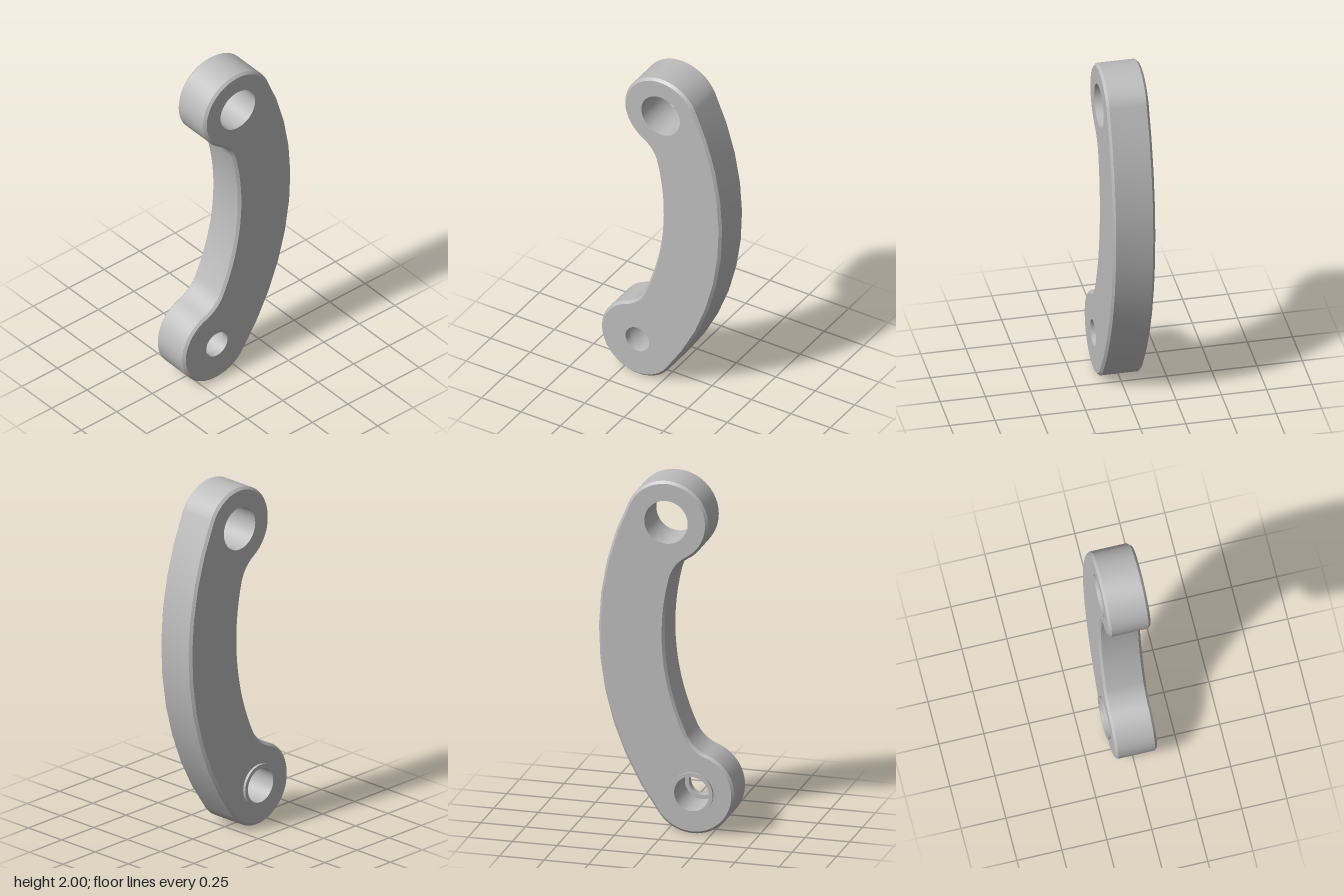
import * as THREE from 'three';

// Profiles lie in the (z, y) plane; the link is extruded along x.
const X0 = -0.11, X1 = 0.123, CHAMFER = 0.014;
const END_R = 0.233, MID_R = 1.477, INNER_R = 1.34, FILLET = 0.2;
const centre = [1.329, 1.123];
const topAngle = THREE.MathUtils.degToRad(154.1);
const bottomAngle = THREE.MathUtils.degToRad(216.9);

const polar = ([z, y], r, a) => [z + r * Math.cos(a), y + r * Math.sin(a)];
const arc = (c, r, a0, a1, n) =>
  Array.from({ length: n }, (_, i) => polar(c, r, a0 + ((a1 - a0) * i) / n));
const direction = (from, to) => Math.atan2(to[1] - from[1], to[0] - from[0]);

const topEye = polar(centre, MID_R, topAngle);
const bottomEye = polar(centre, MID_R, bottomAngle);

// Curved link outline made of tangent arcs, shrunk by an inset
function outline(inset) {
  const fr = INNER_R - FILLET, er = END_R + FILLET;
  const swing = Math.acos((MID_R ** 2 + fr ** 2 - er ** 2) / (2 * MID_R * fr));
  const lowA = bottomAngle - swing, highA = topAngle + swing;
  const low = polar(centre, fr, lowA), high = polar(centre, fr, highA);
  const lowDir = direction(bottomEye, low), highDir = direction(topEye, high);
  const r = END_R - inset, f = FILLET + inset;
  return [
    ...arc(bottomEye, r, bottomAngle - 2 * Math.PI, lowDir, 36),
    ...arc(low, f, lowDir + Math.PI, lowA, 10),
    ...arc(centre, INNER_R + inset, lowA, highA, 16),
    ...arc(high, f, highA, highDir + Math.PI, 10),
    ...arc(topEye, r, highDir, topAngle, 36),
    ...arc(centre, MID_R + END_R - inset, topAngle, bottomAngle, 10),
  ];
}

const circle = (c, r) => arc(c, r, 0, 2 * Math.PI, 48);

function geometry(positions, index) {
  const g = new THREE.BufferGeometry();
  g.setAttribute('position', new THREE.Float32BufferAttribute(positions, 3));
  g.setIndex(index);
  g.computeVertexNormals();
  return g;
}

// Closed band between two matching loops at xa and xb
function band(a, xa, b, xb) {
  const n = a.length, index = [];
  const positions = [...a.map(([z, y]) => [xa, y, z]), ...b.map(([z, y]) => [xb, y, z])].flat();
  for (let i = 0; i < n; i++) {
    const j = (i + 1) % n;
    index.push(i, n + i, j, j, n + i, n + j);
  }
  return geometry(positions, index);
}

// Flat side face with holes
function cap(loop, holes, x, flip) {
  const v = (p) => new THREE.Vector2(p[0], p[1]);
  const tris = THREE.ShapeUtils.triangulateShape(
    loop.map(v), holes.map((h) => [...h].reverse().map(v)));
  const points = [loop, ...holes.map((h) => [...h].reverse())].flat();
  const index = tris.flatMap(([a, b, c]) => (flip ? [a, c, b] : [a, b, c]));
  return geometry(points.flatMap(([z, y]) => [x, y, z]), index);
}

export function createModel() {
  const model = new THREE.Group();
  model.name = 'curvedLink';
  const steel = new THREE.MeshStandardMaterial({ color: 0xbcbcbc });
  steel.name = 'grey steel';

  const part = (name, geometries) => {
    const group = new THREE.Group();
    group.name = name;
    geometries.forEach((g) => {
      const mesh = new THREE.Mesh(g, steel);
      mesh.name = name;
      group.add(mesh);
    });
    model.add(group);
  };
  // Crisp-edged turned surface from [x, radius] steps
  const turned = (c, steps) => steps.slice(1).map(([x, r], i) =>
    band(circle(c, steps[i][1]), steps[i][0], circle(c, r), x));

  const pinR = 0.075, boreR = 0.098, bossR = 0.119, eyeR = 0.122;
  const full = outline(0), small = outline(CHAMFER);

  part('linkRim', [
    band(small, X0, full, X0 + CHAMFER),
    band(full, X0 + CHAMFER, full, X1 - CHAMFER),
    band(full, X1 - CHAMFER, small, X1),
  ]);
  part('linkFaces', [
    cap(small, [circle(topEye, eyeR), circle(bottomEye, boreR)], X0, false),
    cap(small, [circle(topEye, eyeR), circle(bottomEye, pinR)], X1, true),
  ]);
  part('topHole', turned(topEye, [[X1, eyeR], [X0, eyeR]]));
  // Stepped bore leading out to a raised ring
  part('bottomBoreAndBoss', turned(bottomEye, [
    [X1, pinR], [0.083, pinR], [0.083, boreR],
    [-0.125, boreR], [-0.125, bossR], [X0, bossR],
  ]));
  return model;
}
